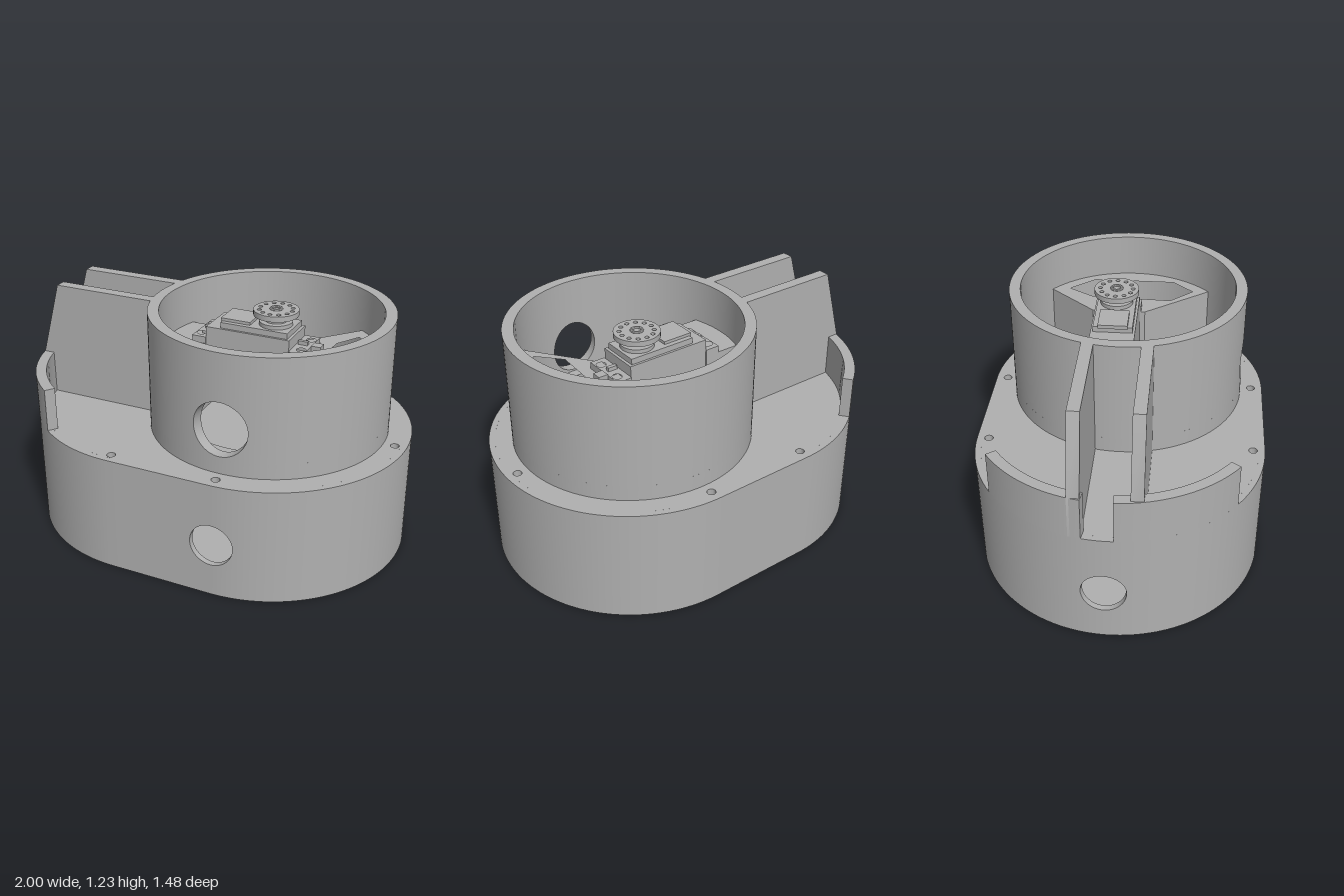
import * as THREE from 'three';
import { toCreasedNormals } from 'three/addons/utils/BufferGeometryUtils.js';

const grey = new THREE.MeshStandardMaterial({ color: 0xb0b0b0 });
grey.name = 'matte grey';
const CX = 0.27, R = 0.73, TR = 0.612, DECK = 0.61, TOP = 1.225;

function add(parent, name, geo, x = 0, y = 0, z = 0) {
  const m = new THREE.Mesh(toCreasedNormals(geo, 0.5), grey);
  m.name = name;
  m.position.set(x, y, z);
  parent.add(m);
  return m;
}

// Rounded-end outline measured by length, starting at the front and running via +x
function outline(cx, half, r) {
  const arc = Math.PI * r, len = 2 * arc + 4 * half;
  const at = (s) => {
    s = ((s % len) + len) % len;
    let x, a;
    if (s < arc) { a = s / r; x = half; }
    else if (s < arc + 2 * half) { a = Math.PI; x = half - (s - arc); }
    else if (s < 2 * arc + 2 * half) { a = (s - 2 * half) / r; x = -half; }
    else { a = 0; x = -half + (s - 2 * arc - 2 * half); }
    const nx = Math.sin(a), nz = Math.cos(a);
    return (d) => [cx + x + nx * (r - d), nz * (r - d)];
  };
  return { at, len };
}

// Wall strip swept along an outline between two height rules
function band(out, path, stations, t, lo, hi) {
  const cols = stations.map((s) => {
    const p = path.at(s), [ox, oz] = p(0), [ix, iz] = p(t), a = lo(s), b = hi(s);
    return [[ox, a, oz], [ox, b, oz], [ix, b, iz], [ix, a, iz]];
  });
  const quad = (a, b, c, d) => out.push(...a, ...b, ...c, ...a, ...c, ...d);
  for (let i = 0; i < cols.length - 1; i++) {
    for (let k = 0; k < 4; k++) {
      const j = (k + 1) % 4;
      quad(cols[i][k], cols[i + 1][k], cols[i + 1][j], cols[i][j]);
    }
  }
  const e = cols[cols.length - 1];
  quad(...cols[0]);
  quad(e[3], e[2], e[1], e[0]);
}

// Curved wall with round openings cut through it
function curvedWall(path, s0, s1, t, y0, y1, holes = []) {
  const out = [], low = () => y0, high = () => y1;
  const plain = (a, b) => {
    const n = Math.max(2, Math.ceil((b - a) / 0.03));
    band(out, path, Array.from({ length: n + 1 }, (_, i) => a + (b - a) * i / n), t, low, high);
  };
  let cursor = s0;
  for (const h of holes) {
    plain(cursor, h.s - h.r);
    const st = Array.from({ length: 33 }, (_, i) => h.s - h.r * Math.cos(Math.PI * i / 32));
    const dy = (s) => Math.sqrt(Math.max(0, h.r * h.r - (s - h.s) ** 2));
    band(out, path, st, t, low, (s) => h.y - dy(s));
    band(out, path, st, t, (s) => h.y + dy(s), high);
    cursor = h.s + h.r;
  }
  plain(cursor, s1);
  const g = new THREE.BufferGeometry();
  g.setAttribute('position', new THREE.Float32BufferAttribute(out, 3));
  return g;
}

// Flat plate from (x, z) points, with round holes and polygon cut-outs
function slab(pts, y0, y1, round = [], cuts = []) {
  const v = (list) => list.map(([x, z]) => new THREE.Vector2(x, -z));
  const shape = new THREE.Shape(v(pts));
  for (const [x, z, r] of round) shape.holes.push(new THREE.Path().absarc(x, -z, r, 0, Math.PI * 2, true));
  for (const c of cuts) shape.holes.push(new THREE.Path(v(c)));
  const g = new THREE.ExtrudeGeometry(shape, { depth: y1 - y0, bevelEnabled: false, curveSegments: 10 });
  return g.rotateX(-Math.PI / 2).translate(0, y0, 0);
}

const sample = (path, d, n) => Array.from({ length: n }, (_, i) => path.at(path.len * i / n)(d));

function servo() {
  const g = new THREE.Group();
  g.name = 'servo';
  const box = (name, w, h, d, x, y, z) => add(g, name, new THREE.BoxGeometry(w, h, d), x, y, z);
  const disc = (name, r, h, x, y) => add(g, name, new THREE.CylinderGeometry(r, r, h, 40), x, y, 0);
  box('servoBody', 0.45, 0.36, 0.225, 0.16, 0.91, 0);
  box('servoCap', 0.36, 0.03, 0.2, 0.19, 1.105, 0);
  box('servoLabelStep', 0.16, 0.02, 0.15, 0.08, 1.125, 0);
  // Mounting ears with screw holes and open slots
  for (const [x0, x1, hx, edge] of [[-0.14, -0.065, -0.11, -0.141], [0.385, 0.465, 0.435, 0.466]]) {
    for (const s of [-1, 1]) {
      const pts = [[x0, 0], [x1, 0], [x1, s * 0.12], [x0, s * 0.12]];
      add(g, 'mountingEar', slab(s > 0 ? pts : pts.reverse(), 1.0, 1.035, [[hx, s * 0.07, 0.024]]));
    }
    box('earRib', 0.05, 0.02, 0.02, hx + (hx - edge) * 0.5, 1.045, 0);
  }
  box('cableOutlet', 0.05, 0.04, 0.05, 0.49, 1.02, -0.01);
  // Output shaft and round horn
  disc('shaftCollar', 0.085, 0.03, 0.27, 1.125);
  disc('hornHub', 0.055, 0.05, 0.27, 1.155);
  const horn = new THREE.Shape().absarc(0, 0, 0.115, 0, Math.PI * 2);
  for (let i = 0; i < 12; i++) {
    const a = Math.PI * 2 * i / 12;
    horn.holes.push(new THREE.Path().absarc(0.085 * Math.cos(a), 0.085 * Math.sin(a), 0.011, 0, Math.PI * 2, true));
  }
  const hg = new THREE.ExtrudeGeometry(horn, { depth: 0.028, bevelEnabled: false, curveSegments: 24 });
  add(g, 'horn', hg.rotateX(-Math.PI / 2), 0.27, 1.172, 0);
  add(g, 'hornScrew', new THREE.TorusGeometry(0.026, 0.008, 8, 24).rotateX(Math.PI / 2), 0.27, 1.202, 0);
  g.position.z = -0.06;
  return g;
}

export function createModel() {
  const root = new THREE.Group();
  root.name = 'servoHousing';
  const body = new THREE.Group();
  body.name = 'housing';
  body.rotation.y = 0.029;
  root.add(body);

  // Hollow base with two cable openings
  const base = outline(0, CX, R);
  const mid = Math.PI * R * 1.5 + 2 * CX;
  add(body, 'baseWall', curvedWall(base, -0.3, base.len - 0.3, 0.03, 0, DECK,
    [{ s: 0.01, y: 0.28, r: 0.11 }, { s: mid - 0.02, y: 0.28, r: 0.11 }]));
  const screws = [[0.94, 0, 0.022]];
  for (const x of [-0.28, 0.28]) for (const z of [-0.67, 0.67]) screws.push([x, z, 0.022]);
  const inside = sample(base, 0.03, 160);
  add(body, 'deck', slab(inside, DECK - 0.04, DECK, screws));
  add(body, 'bottomPlate', slab(inside, 0, 0.03, [...screws, [-0.94, 0, 0.018]]));

  // Raised lip around the left end, open in the channel
  const reach = 54 * Math.PI / 180 * R;
  for (const [a, b] of [[-reach, -0.12], [0.03, reach]]) {
    add(body, 'rimLip', curvedWall(base, mid + a, mid + b, 0.055, DECK, 0.835));
  }

  // Round tower with a front opening
  const tower = outline(CX, 0, TR);
  add(body, 'towerWall', curvedWall(tower, -0.4, tower.len - 0.4, 0.057, DECK, TOP, [{ s: 0, y: 0.84, r: 0.14 }]));
  add(body, 'towerFloor', slab(sample(tower, 0.05, 96), DECK, 0.64));
  add(body, 'towerLedge', curvedWall(tower, 0, tower.len, 0.11, 0.63, 0.69));

  // Channel walls with sloped outer ends
  const side = new THREE.Shape([[-0.98, DECK], [-0.29, DECK], [-0.29, TOP], [-0.87, TOP], [-0.98, 0.838]]
    .map(([x, y]) => new THREE.Vector2(x, y)));
  for (const z of [-0.18, 0.105]) {
    add(body, 'channelWall', new THREE.ExtrudeGeometry(side, { depth: 0.06, bevelEnabled: false }), 0, 0, z);
  }

  // Servo supports inside the tower
  add(body, 'leftMount', slab([[-0.29, -0.18], [-0.065, -0.18], [-0.065, 0.165], [-0.29, 0.165]], 0.64, 1.0));
  const right = [[0.385, 0.08], [0.385, -0.2]];
  for (let i = 0; i <= 16; i++) {
    const a = -0.93 + 1.78 * i / 16;
    right.push([CX + 0.565 * Math.cos(a), 0.565 * Math.sin(a)]);
  }
  add(body, 'rightMount', slab(right, 0.64, 1.0, [],
    [[[0.62, -0.35], [0.73, -0.22], [0.73, 0.22], [0.63, 0.33], [0.52, 0.21], [0.54, -0.22]]]));

  body.add(servo());
  return root;
}
